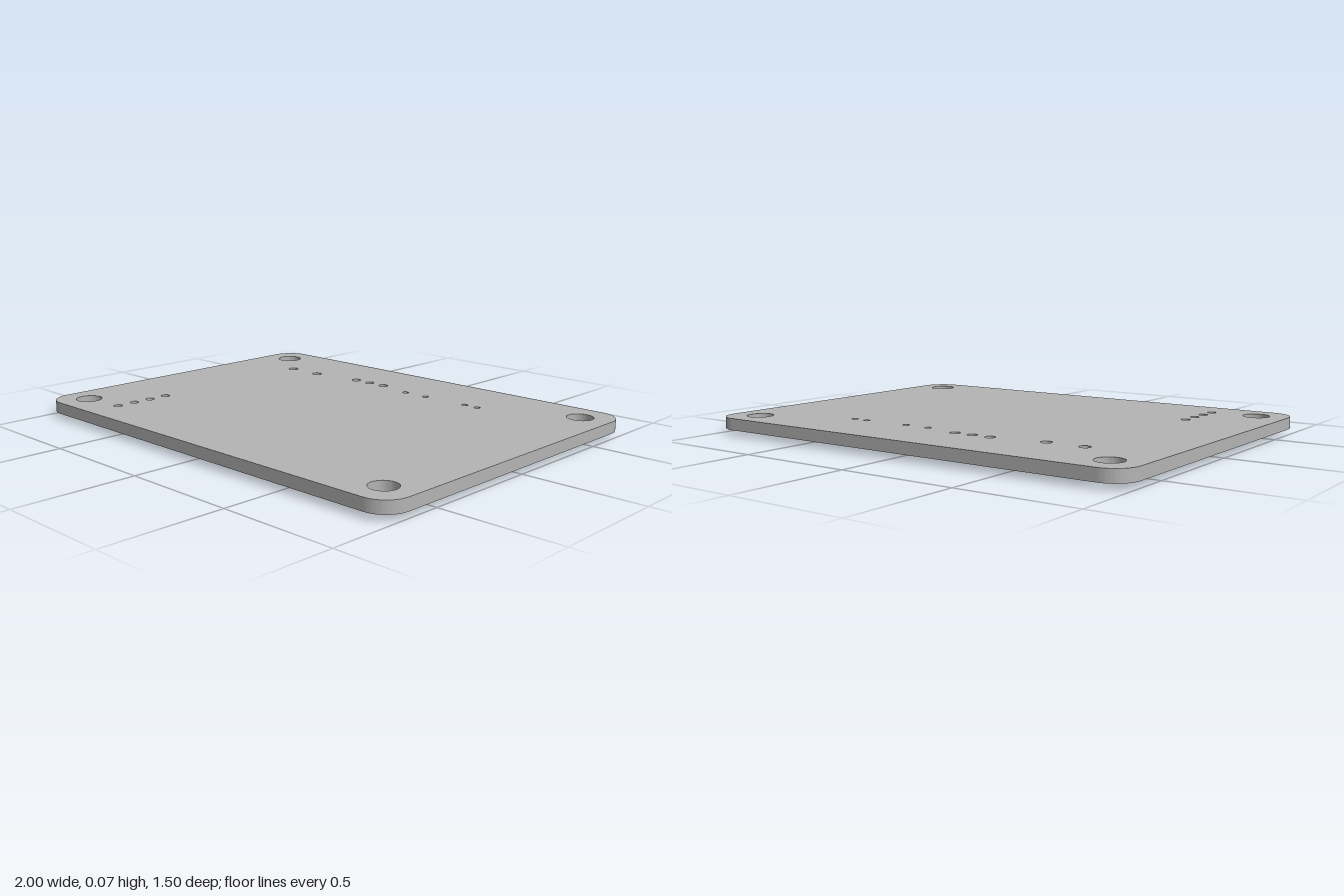
import * as THREE from 'three';
import { toCreasedNormals } from 'three/addons/utils/BufferGeometryUtils.js';

const BOTTOM = 0.024, THICKNESS = 0.05;
const HALF_X = 1, HALF_Z = 0.75, CORNER = 0.105;

// Drilled holes as groups of [x, z] centres sharing one radius
const HOLES = [
  { r: 0.056, at: [[-0.867, -0.617], [0.867, -0.617], [-0.867, 0.617], [0.867, 0.617]] }, // mounting
  { r: 0.023, at: [[-0.668, -0.452], [-0.502, -0.452]] },
  { r: 0.021, at: [[-0.269, -0.485], [-0.184, -0.485], [-0.099, -0.485]] },
  { r: 0.014, at: [[0.064, -0.452], [0.181, -0.452], [0.398, -0.452], [0.464, -0.452]] },
  { r: 0.019, at: [[-0.668, 0.348], [-0.668, 0.433], [-0.668, 0.517], [-0.668, 0.602]] },
];

// Rounded rectangle; shape y is model -z
function boardShape() {
  const s = new THREE.Shape();
  const x = HALF_X - CORNER, y = HALF_Z - CORNER;
  s.absarc(x, y, CORNER, 0, Math.PI / 2);
  s.absarc(-x, y, CORNER, Math.PI / 2, Math.PI);
  s.absarc(-x, -y, CORNER, Math.PI, Math.PI * 1.5);
  s.absarc(x, -y, CORNER, Math.PI * 1.5, Math.PI * 2);
  s.closePath();
  for (const { r, at } of HOLES) {
    for (const [hx, hz] of at) {
      s.holes.push(new THREE.Path().absarc(hx, -hz, r, 0, Math.PI * 2, true));
    }
  }
  return s;
}

export function createModel() {
  const group = new THREE.Group();
  group.name = 'circuitBoard';
  const grey = new THREE.MeshStandardMaterial({ color: 0xb4b4b4 });
  grey.name = 'plain grey';

  // Board with its drilled holes
  const boardGeometry = new THREE.ExtrudeGeometry(boardShape(), {
    depth: THICKNESS, bevelEnabled: false, curveSegments: 20,
  });
  boardGeometry.rotateX(-Math.PI / 2);
  const board = new THREE.Mesh(toCreasedNormals(boardGeometry, 0.6), grey);
  board.name = 'board';
  board.position.y = BOTTOM;
  group.add(board);

  // Tiny component on the underside
  const chip = new THREE.Mesh(new THREE.BoxGeometry(0.034, BOTTOM, 0.017), grey);
  chip.name = 'undersideComponent';
  chip.position.set(0.331, BOTTOM / 2, 0.052);
  group.add(chip);

  return group;
}
